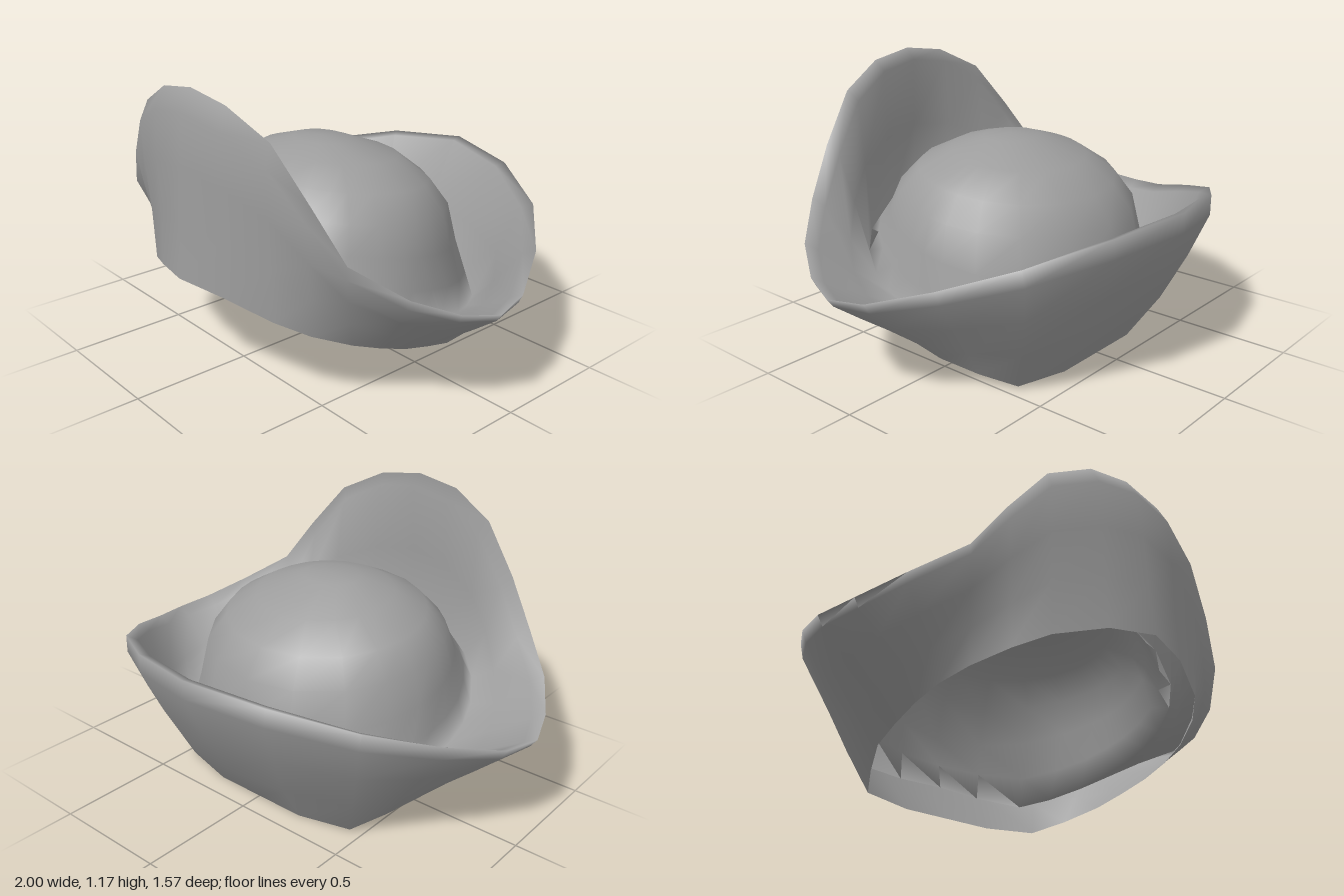
import * as THREE from 'three';

// Half outlines from front centre, round the left side, to back centre: [x, y, z]
const RIM = [
  [0, 1.17, 0.69], [0.2, 1.14, 0.68], [0.4, 1.04, 0.64], [0.56, 0.84, 0.595], [0.69, 0.65, 0.545],
  [0.85, 0.535, 0.4], [0.95, 0.465, 0.24], [1, 0.437, 0.09], [0.965, 0.45, -0.07], [0.84, 0.52, -0.3],
  [0.64, 0.6, -0.53], [0.34, 0.67, -0.705], [0, 0.7, -0.785],
];
const BASE = [
  [0, 0.44, 0.785], [0.2, 0.42, 0.735], [0.4, 0.36, 0.645], [0.5, 0.31, 0.55], [0.58, 0.26, 0.42],
  [0.62, 0.22, 0.3], [0.63, 0.18, 0.18], [0.62, 0.14, 0.05], [0.6, 0.1, -0.08], [0.53, 0.05, -0.22],
  [0.45, 0.01, -0.35], [0.22, 0, -0.4], [0, 0, -0.4],
];
const rim = RIM.map((p) => new THREE.Vector3(...p));
const base = BASE.map((p) => new THREE.Vector3(...p));
const angles = rim.map((p) => Math.atan2(p.x, p.z - 0.08));
const backness = angles.map((a) => (1 - Math.cos(a)) / 2);
const blend = (from, to, t) => from.map((p, i) => p.clone().lerp(to[i], t));

// Ring part-way up the outside of the brim, with an even bulge and an extra one at the back
const outerRing = (t, bulge, backBulge) => blend(base, rim, t).map((p, i) => {
  const out = bulge + backBulge * backness[i] ** 6;
  p.x += Math.sin(angles[i]) * out * 0.5;
  p.z += Math.cos(angles[i]) * out;
  return p;
});

// Tilted oval ring given its half width and its front and back points
const ovalRing = (halfWidth, zFront, yFront, zBack, yBack) => angles.map((a, i) => new THREE.Vector3(
  halfWidth * Math.sin(a),
  THREE.MathUtils.lerp(yFront, yBack, backness[i]),
  THREE.MathUtils.lerp(zFront, zBack, backness[i]),
));

// Skin mirrored half rings into one smooth surface, closed by an apex
function skin(halfRings, apex) {
  const n = 24;
  const positions = [];
  const index = [];
  for (const half of halfRings) {
    for (let i = 0; i < n; i++) {
      const p = half[i <= 12 ? i : n - i];
      positions.push(i <= 12 ? p.x : -p.x, p.y, p.z);
    }
  }
  positions.push(...apex);
  const last = halfRings.length - 1;
  for (let k = 0; k <= last; k++) {
    for (let i = 0; i < n; i++) {
      const a = k * n + i;
      const b = k * n + ((i + 1) % n);
      if (k < last) index.push(a, b, b + n, a, b + n, a + n);
      else index.push(a, b, (last + 1) * n);
    }
  }
  const geometry = new THREE.BufferGeometry();
  geometry.setAttribute('position', new THREE.Float32BufferAttribute(positions, 3));
  geometry.setIndex(index);
  geometry.computeVertexNormals();
  return geometry;
}

export function createModel() {
  const group = new THREE.Group();
  group.name = 'cockedHat';

  // Rolled inner lip, and the crease where the brim meets the crown
  const innerLip = rim.map((p, i) => new THREE.Vector3(
    p.x - Math.sin(angles[i]) * 0.055,
    p.y - THREE.MathUtils.lerp(0.05, 0.012, backness[i]),
    p.z - Math.cos(angles[i]) * 0.04,
  ));
  const crease = base.map((p, i) => new THREE.Vector3(
    p.x * 0.97, p.y + 0.08 + 0.075 * backness[i] ** 2, p.z - 0.11 + 0.05 * backness[i]));
  const crownFoot = ovalRing(0.555, 0.57, 0.6, -0.495, 0.39);

  const rings = [
    // Upturned brim, open underneath
    base, outerRing(0.3, 0.01, 0.045), outerRing(0.6, 0.03, 0.03), outerRing(0.88, 0.04, 0.003), rim,
    innerLip, blend(innerLip, crease, 0.5), crease,
    // Domed crown
    blend(crease, crownFoot, 0.45), crownFoot,
    ovalRing(0.52, 0.52, 0.69, -0.45, 0.57),
    ovalRing(0.44, 0.43, 0.78, -0.37, 0.68),
    ovalRing(0.3, 0.3, 0.84, -0.25, 0.78),
    ovalRing(0.13, 0.18, 0.87, -0.04, 0.862),
  ];
  const material = new THREE.MeshStandardMaterial({ color: 0x9d9d9d, side: THREE.DoubleSide });
  const hat = new THREE.Mesh(skin(rings, [0, 0.873, 0.07]), material);
  hat.name = 'brimAndCrown';
  group.add(hat);
  return group;
}
